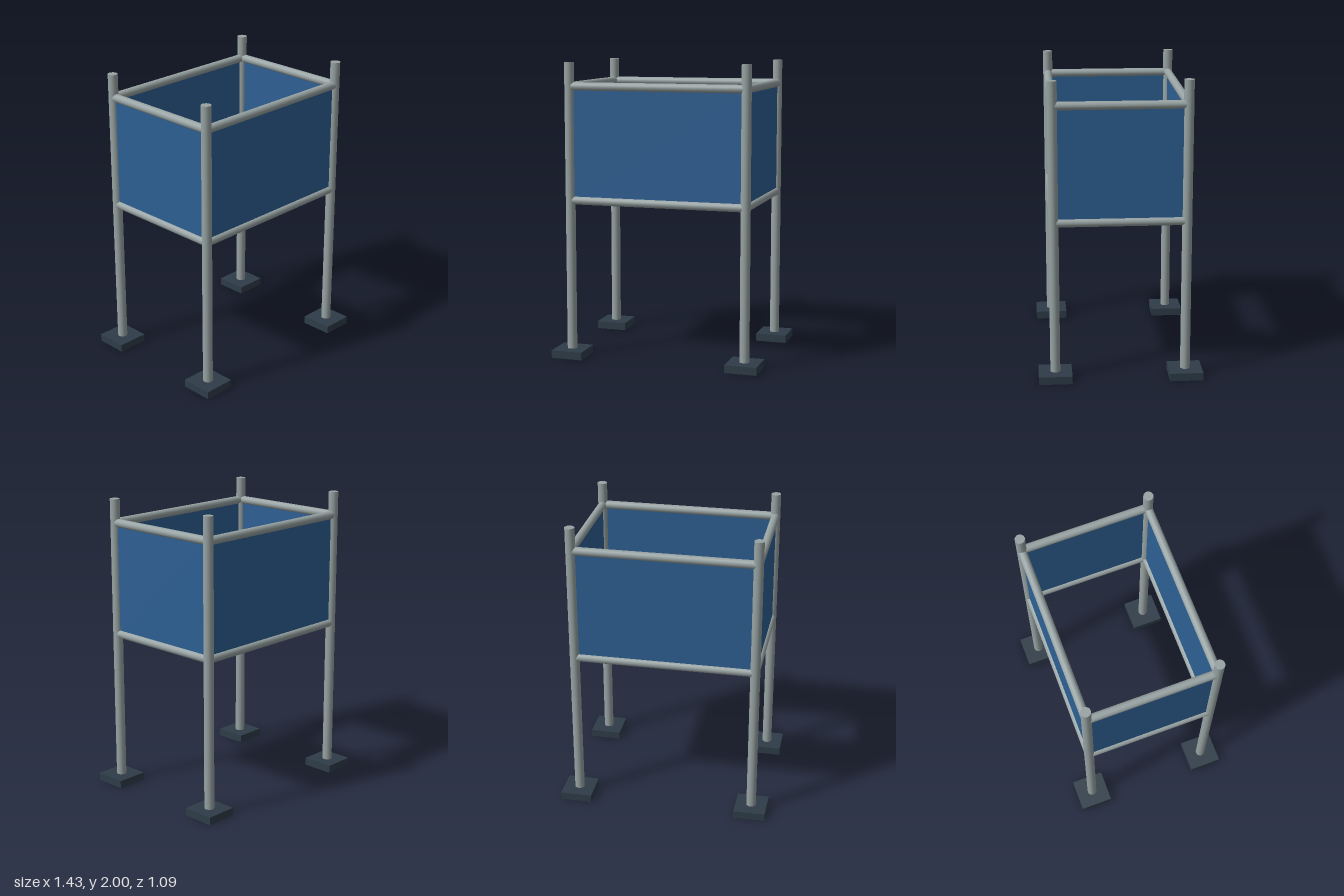
import * as THREE from 'three';

const X = 0.608, Z = 0.433;            // post centres
const TOP_RAIL = 1.84, LOW_RAIL = 1.075;
const POST_R = 0.033, RAIL_R = 0.028, FOOT_H = 0.053;

export function createModel() {
  const group = new THREE.Group();
  const material = (name, color) => {
    const m = new THREE.MeshStandardMaterial({ color });
    m.name = name;
    return m;
  };
  const steel = material('grey steel', 0x98a3a3);
  const blue = material('blue panel', 0x2e6094);
  const dark = material('dark base', 0x2e3c48);

  const add = (name, geometry, mat, x, y, z) => {
    const mesh = new THREE.Mesh(geometry, mat);
    mesh.name = name;
    mesh.position.set(x, y, z);
    group.add(mesh);
    return mesh;
  };

  // Corner posts on square feet
  const footGeo = new THREE.BoxGeometry(0.216, FOOT_H, 0.222);
  const postH = 2 - FOOT_H;
  const postGeo = new THREE.CylinderGeometry(POST_R, POST_R, postH, 16);
  for (const sx of [-1, 1]) {
    for (const sz of [-1, 1]) {
      add('foot', footGeo, dark, sx * X, FOOT_H / 2, sz * Z);
      add('post', postGeo, steel, sx * X, FOOT_H + postH / 2, sz * Z);
    }
  }

  // Upper and lower rails running from post to post
  const longRail = new THREE.CylinderGeometry(RAIL_R, RAIL_R, 2 * X, 16).rotateZ(Math.PI / 2);
  const shortRail = new THREE.CylinderGeometry(RAIL_R, RAIL_R, 2 * Z, 16).rotateX(Math.PI / 2);

  // Thin panels filling each side between the rails
  const panelH = TOP_RAIL - LOW_RAIL;
  const midY = (TOP_RAIL + LOW_RAIL) / 2;
  const longPanel = new THREE.BoxGeometry(2 * (X - 0.025), panelH, 0.014);
  const shortPanel = new THREE.BoxGeometry(0.014, panelH, 2 * (Z - 0.025));

  for (const s of [-1, 1]) {
    for (const y of [LOW_RAIL, TOP_RAIL]) {
      add('longRail', longRail, steel, 0, y, s * Z);
      add('shortRail', shortRail, steel, s * X, y, 0);
    }
    add('longPanel', longPanel, blue, 0, midY, s * Z);
    add('sidePanel', shortPanel, blue, s * X, midY, 0);
  }
  return group;
}
